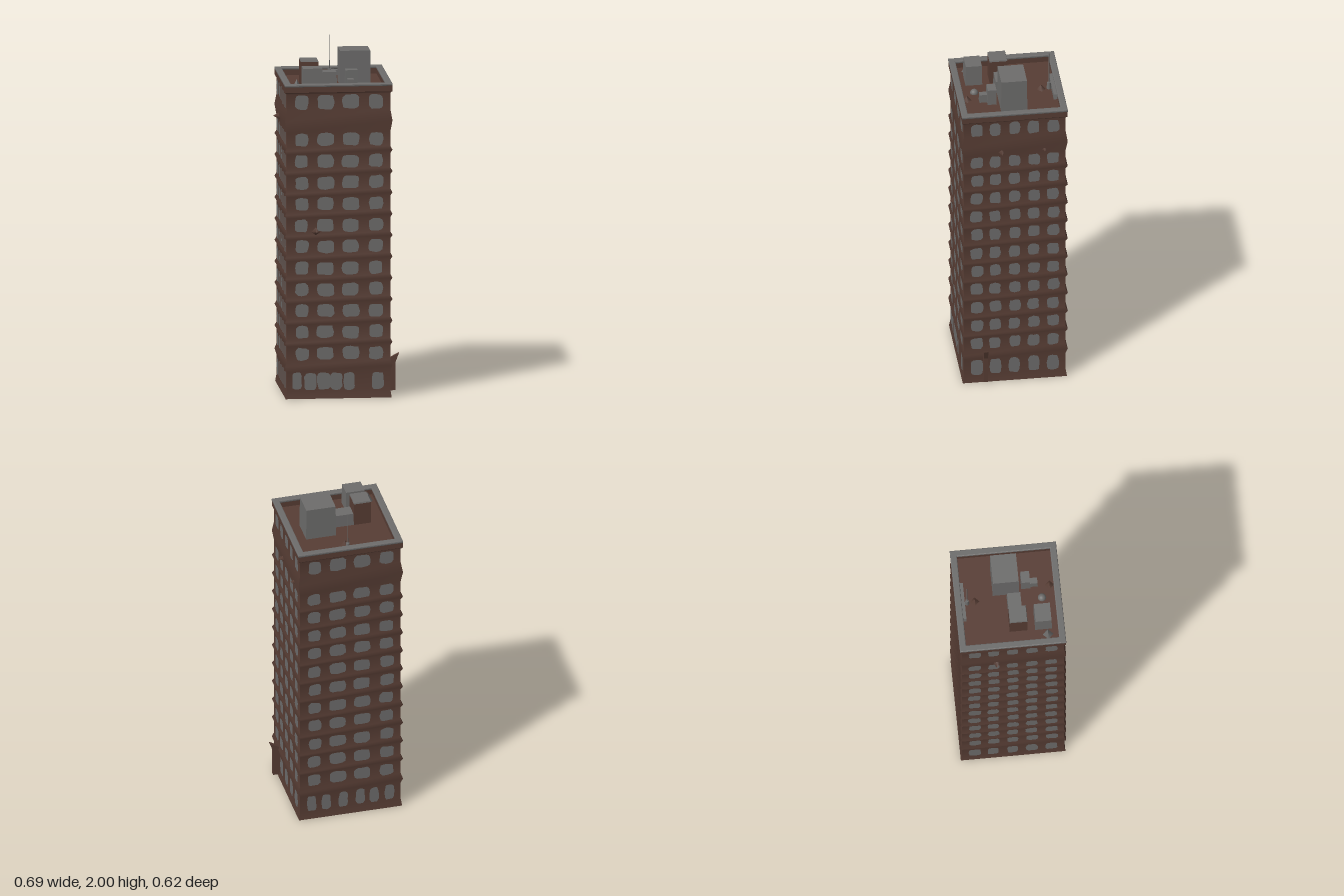
import * as THREE from 'three';
import { mergeGeometries } from 'three/addons/utils/BufferGeometryUtils.js';

const CX = -0.01, CZ = -0.006, HX = 0.302, HZ = 0.298; // tower centre and half sizes
const ROOF = 1.765;

export function createModel() {
  const model = new THREE.Group();
  model.name = 'apartmentTower';
  const material = (name, color) => {
    const m = new THREE.MeshStandardMaterial({ color });
    m.name = name;
    return m;
  };
  const brick = material('brown brick', 0x573d34);
  const grey = material('weathered grey', 0x6d6c6b);

  let seed = 7;
  const jitter = (a) => {
    seed = (seed * 16807) % 2147483647;
    return (seed / 2147483647 - 0.5) * 2 * a;
  };
  const add = (name, geometry, mat, x = 0, y = 0, z = 0, parent = model) => {
    const mesh = new THREE.Mesh(geometry, mat);
    mesh.name = name;
    mesh.position.set(x, y, z);
    parent.add(mesh);
    return mesh;
  };

  // Window rows: ground floor, eleven regular floors, top floor
  const rows = [{ y: 0.1, h: 0.1 }];
  for (let i = 0; i < 11; i++) rows.push({ y: 0.26 + i * 0.123, h: 0.074 });
  rows.push({ y: 1.708, h: 0.084 });

  // Tower walls: set back along each window row, swelling out at the floor ledges
  const levels = [[0, 0]];
  rows.forEach(({ y, h }, i) => {
    levels.push([y - h / 2 - 0.004, -0.007], [y + h / 2 + 0.004, -0.007]);
    const next = rows[i + 1];
    if (next) levels.push([(y + h / 2 + next.y - next.h / 2) / 2, 0.004]);
  });
  levels.push([ROOF, 0.003]);
  const n = levels.length - 1;
  const body = new THREE.BoxGeometry(2, 1, 2, 1, n, 1);
  const p = body.attributes.position;
  for (let i = 0; i < p.count; i++) {
    const [y, out] = levels[Math.round((p.getY(i) + 0.5) * n)];
    p.setXYZ(i, p.getX(i) * (HX + out), y, p.getZ(i) * (HZ + out));
  }
  body.computeVertexNormals();
  add('towerWalls', body, brick, CX, 0, CZ);

  // Rounded window pane, slightly uneven
  const pane = (x, y, w, h) => {
    const pts = [];
    for (let i = 0; i < 16; i++) {
      const a = (i / 16) * Math.PI * 2, c = Math.cos(a), s = Math.sin(a);
      pts.push(new THREE.Vector2(
        x + Math.sign(c) * Math.abs(c) ** 0.55 * w / 2 + jitter(0.003),
        y + Math.sign(s) * Math.abs(s) ** 0.55 * h / 2 + jitter(0.003)));
    }
    return new THREE.ShapeGeometry(new THREE.Shape(pts));
  };

  // Columns as [offset along the wall, width]
  const wide = [[-0.21, 0.074], [-0.075, 0.096], [0.068, 0.096], [0.212, 0.08]];
  const narrow = [[-0.217, 0.07], [-0.112, 0.064], [-0.001, 0.064], [0.108, 0.066], [0.219, 0.068]];
  const shop = [[-0.235, 0.055], [-0.16, 0.07], [-0.085, 0.075], [-0.01, 0.07], [0.06, 0.065], [0.22, 0.068]];
  const backShop = [-0.23, -0.14, -0.04, 0.06, 0.14, 0.23].map((x) => [x, 0.055]);
  const sides = [
    ['front', 0, HZ, wide, shop],
    ['left', Math.PI / 2, HX, narrow, narrow],
    ['back', Math.PI, HZ, wide, backShop],
    ['right', -Math.PI / 2, HX, narrow, narrow],
  ];
  for (const [name, angle, depth, columns, ground] of sides) {
    const panes = [];
    rows.forEach(({ y, h }, r) => {
      for (const [x, w] of r ? columns : ground) {
        panes.push(pane(x + jitter(0.003), y + jitter(0.003), w, h));
      }
    });
    const geo = mergeGeometries(panes);
    geo.translate(0, 0, depth - 0.004).rotateY(angle);
    add(name + 'Windows', geo, grey, CX, 0, CZ);
  }

  // Parapet: brick ring with a bevelled grey coping
  const ring = (outer, inner, height, bevel) => {
    const rect = (path, hx, hz) => path.moveTo(-hx, -hz).lineTo(hx, -hz).lineTo(hx, hz).lineTo(-hx, hz).closePath();
    const shape = rect(new THREE.Shape(), HX + outer, HZ + outer);
    shape.holes.push(rect(new THREE.Path(), HX - inner, HZ - inner));
    return new THREE.ExtrudeGeometry(shape, {
      depth: height, bevelEnabled: bevel > 0, bevelSize: bevel, bevelThickness: bevel, bevelSegments: 2,
    }).rotateX(-Math.PI / 2);
  };
  add('parapet', ring(0.003, 0.03, 0.035, 0), brick, CX, ROOF, CZ);
  add('parapetCoping', ring(0, 0.028, 0.006, 0.005), grey, CX, 1.801, CZ);

  // Rooftop plant boxes: x0, x1, z0, z1, top
  const roof = new THREE.Group();
  roof.name = 'rooftopPlant';
  model.add(roof);
  const plant = (name, x0, x1, z0, z1, top, mat = grey, bottom = ROOF - 0.005, taper = 0.95) => {
    const g = new THREE.BoxGeometry(x1 - x0, top - bottom, z1 - z0);
    const v = g.attributes.position;
    for (let i = 0; i < v.count; i++) {
      if (v.getY(i) > 0) v.setXYZ(i, v.getX(i) * taper, v.getY(i), v.getZ(i) * taper);
    }
    g.computeVertexNormals();
    return add(name, g, mat, (x0 + x1) / 2, (top + bottom) / 2, (z0 + z1) / 2, roof);
  };
  plant('liftHouse', 0.02, 0.195, -0.09, 0.06, 1.96, grey, ROOF - 0.005, 0.98);
  plant('stairHouse', -0.205, -0.105, -0.015, 0.087, 1.905, brick, ROOF - 0.005, 1);
  plant('stairHouseRoof', -0.205, -0.105, -0.015, 0.087, 1.913, grey, 1.905);
  plant('stairLink', -0.105, 0.003, -0.013, 0.067, 1.84);
  plant('ventBox', -0.208, -0.094, 0.13, 0.226, 1.89);
  plant('smallVent', 0.045, 0.118, 0.075, 0.127, 1.86);
  plant('smallVentDuct', 0.053, 0.09, 0.125, 0.17, 1.815);
  plant('backLedge', -0.12, 0.11, -0.275, -0.252, 1.795, grey);

  // Low roof cowl, wedge and debris
  const cowl = new THREE.SphereGeometry(0.024, 12, 6, 0, Math.PI * 2, 0, Math.PI / 2);
  add('roofCowl', cowl, grey, -0.016, ROOF, 0.187, roof);
  const wedge = (name, x, y, z, r, h, mat, parent = model) => {
    const g = new THREE.ConeGeometry(r, h, 4);
    return add(name, g.toNonIndexed(), mat, x, y, z, parent);
  };
  wedge('roofWedge', -0.24, ROOF + 0.03, 0.2, 0.032, 0.066, grey, roof);
  wedge('backDebris', -0.005, ROOF + 0.015, -0.195, 0.026, 0.03, brick, roof);
  wedge('frontDebris', 0.056, ROOF + 0.015, 0.237, 0.026, 0.03, brick, roof);

  // Aerial
  add('aerial', new THREE.CylinderGeometry(0.002, 0.003, 2 - ROOF, 6), grey, -0.01, (2 + ROOF) / 2, -0.24, roof);
  add('aerialFoot', new THREE.CylinderGeometry(0.01, 0.014, 0.04, 8), grey, -0.01, ROOF + 0.02, -0.24, roof);

  // Broken wall spurs below the top storey
  wedge('rightSpur', -0.325, 1.565, -0.1, 0.022, 0.04, brick).rotation.z = Math.PI / 2;
  wedge('leftSpur', 0.3, 1.55, 0.07, 0.022, 0.04, brick).rotation.z = -Math.PI / 2;
  wedge('leftRearSpur', 0.295, 1.55, -0.175, 0.018, 0.03, brick).rotation.z = -Math.PI / 2;
  wedge('frontSpur', -0.14, 0.96, 0.295, 0.03, 0.03, brick).rotation.x = Math.PI / 2;

  // Upright fin beside the ground floor
  const finShape = new THREE.Shape([[0.28, 0.02], [0.325, 0.02], [0.325, 0.18], [0.345, 0.235], [0.28, 0.2]]
    .map(([x, y]) => new THREE.Vector2(x, y)));
  add('groundFin', new THREE.ExtrudeGeometry(finShape, { depth: 0.024, bevelEnabled: false }), brick, 0, 0, 0.152);

  return model;
}
